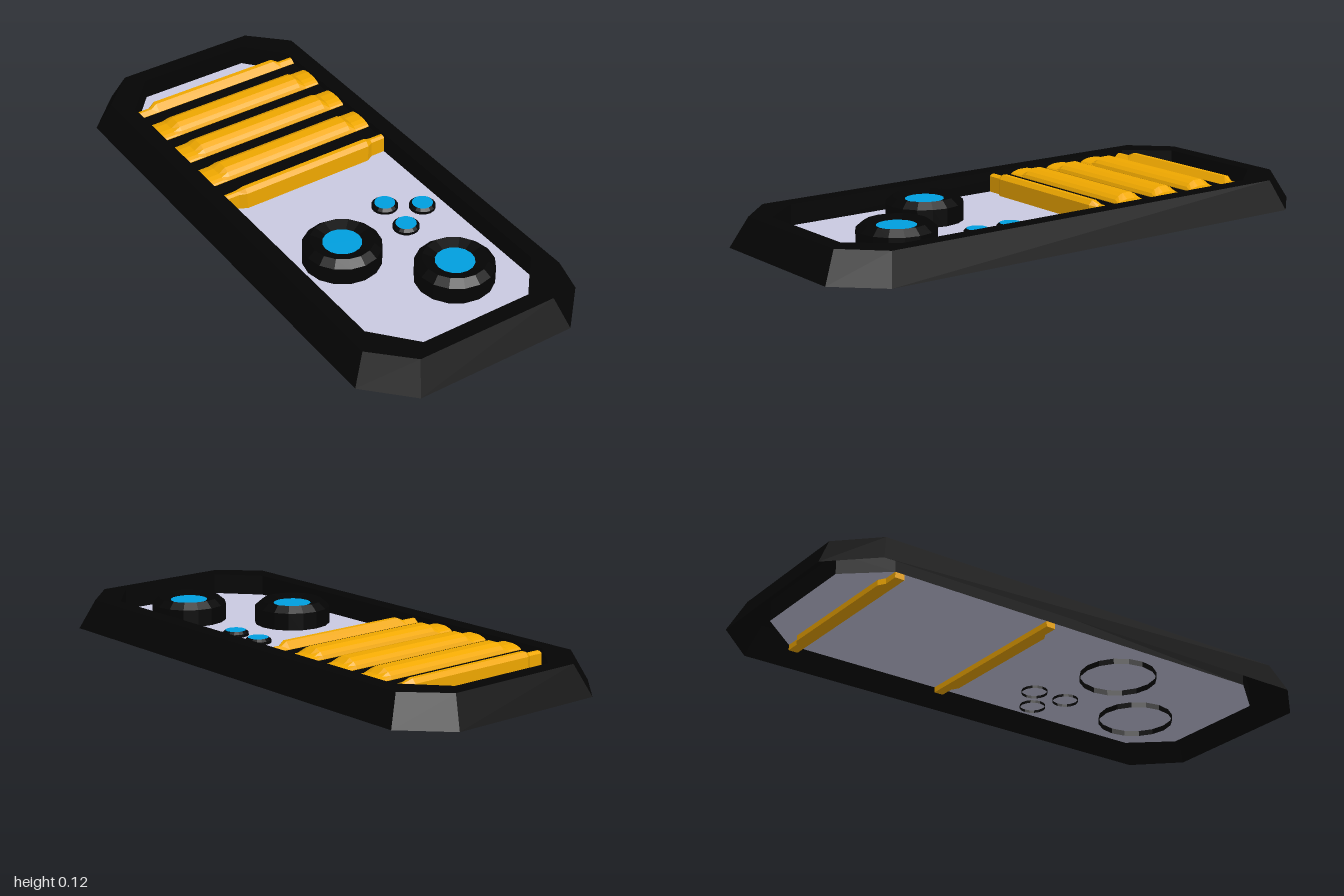
import * as THREE from 'three';

const mat = (color, side = THREE.FrontSide) =>
  new THREE.MeshStandardMaterial({ color, flatShading: true, side });
const black = mat(0x040404, THREE.DoubleSide);
const yellow = mat(0xf0a800);
const blue = mat(0x009fe0);
const panelGrey = mat(0xcacae2, THREE.DoubleSide);

function add(parent, name, geometry, material, x = 0, y = 0, z = 0) {
  const mesh = new THREE.Mesh(geometry, material);
  mesh.name = name;
  mesh.position.set(x, y, z);
  parent.add(mesh);
  return mesh;
}

// Skin closed rings of [x, y, z] points, with optional flat end caps
function loft(rings, caps) {
  const n = rings[0].length, index = [];
  for (let i = 0; i < rings.length - 1; i++) {
    for (let j = 0; j < n; j++) {
      const a = i * n + j, b = i * n + (j + 1) % n;
      index.push(a, b, b + n, a, b + n, a + n);
    }
  }
  if (caps) {
    const e = (rings.length - 1) * n;
    for (let k = 1; k < n - 1; k++) index.push(0, k + 1, k, e, e + k, e + k + 1);
  }
  const g = new THREE.BufferGeometry();
  g.setAttribute('position', new THREE.Float32BufferAttribute(rings.flat(2), 3));
  g.setIndex(index);
  const flat = g.toNonIndexed();
  flat.computeVertexNormals();
  return flat;
}

// Rectangle with cut corners: half width w, half length l, corners at cx and cz
const octagon = (w, l, cx, cz, y) => [
  [-cx, y, l], [cx, y, l], [w, y, cz], [w, y, -cz],
  [cx, y, -l], [-cx, y, -l], [-w, y, -cz], [-w, y, cz],
];

// Bar across x: lower end profiles, ramping up to the taller middle profile
function bar(endProfile, midProfile) {
  const ring = (x, profile) => profile.map(([z, y]) => [x, y, z]);
  return loft([
    ring(-0.335, endProfile), ring(-0.28, endProfile), ring(-0.255, midProfile),
    ring(0.255, midProfile), ring(0.28, endProfile), ring(0.335, endProfile),
  ], true);
}

// Round control with a chamfered black body, open below, and a blue cap
function button(name, x, z, profile) {
  const g = new THREE.Group();
  g.name = name;
  g.position.set(x, 0, z);
  const [capRadius, capHeight] = profile[profile.length - 1];
  const points = profile.map(([r, y]) => new THREE.Vector2(r, y));
  add(g, name + 'Body', new THREE.LatheGeometry(points, 16), black);
  const cap = new THREE.CircleGeometry(capRadius, 16).rotateX(-Math.PI / 2);
  add(g, name + 'Cap', cap, blue, 0, capHeight, 0);
  return g;
}

export function createModel() {
  const model = new THREE.Group();
  model.name = 'controlPanel';
  const panelY = 0.03;

  // Hollow frame: sloped outer wall, flat rim, inner wall down to the panel
  add(model, 'frame', loft([
    octagon(0.445, 1, 0.3, 0.85, 0),
    octagon(0.395, 0.945, 0.265, 0.815, 0.105),
    octagon(0.335, 0.885, 0.21, 0.74, 0.105),
    octagon(0.335, 0.885, 0.21, 0.74, panelY),
  ], false), black);

  // Thin recessed panel
  const outline = octagon(0.335, 0.885, 0.21, 0.74, 0).map(([x, , z]) => new THREE.Vector2(x, -z));
  const panel = new THREE.ShapeGeometry(new THREE.Shape(outline)).rotateX(-Math.PI / 2);
  add(model, 'panel', panel, panelGrey, 0, panelY, 0);

  // Ribbed block: dark bed with yellow bars
  const ribs = new THREE.Group();
  ribs.name = 'ribbedBlock';
  model.add(ribs);
  const middle = -0.4225;
  add(ribs, 'ribBed', new THREE.BoxGeometry(0.668, 0.048, 0.58), black, 0, 0.057, middle);

  // Rounded bars; rise scales the arch above the bed
  const arch = [[-0.055, -0.01], [-0.055, 0], [-0.05, 0.011], [-0.037, 0.022], [-0.018, 0.031],
    [0.018, 0.031], [0.037, 0.022], [0.05, 0.011], [0.055, 0], [0.055, -0.01]];
  for (const z of [-0.59, -0.424, -0.258]) {
    const profile = (rise) => arch.map(([dz, dy]) => [z + dz, 0.083 + dy * rise]);
    add(ribs, 'rib', bar(profile(0.45), profile(1)), yellow);
  }

  // End bars reach down through the panel
  const endLow = [[-0.74, 0.01], [-0.74, 0.088], [-0.73, 0.095], [-0.72, 0.095], [-0.705, 0.082], [-0.705, 0.01]];
  const endHigh = [[-0.755, 0.01], [-0.755, 0.092], [-0.742, 0.107], [-0.725, 0.107], [-0.705, 0.082], [-0.705, 0.01]];
  const mirrored = (profile) => profile.map(([z, y]) => [2 * middle - z, y]).reverse();
  add(ribs, 'backEndRib', bar(endLow, endHigh), yellow);
  add(ribs, 'frontEndRib', bar(mirrored(endLow), mirrored(endHigh)), yellow);

  // Two large dials with dished tops and three small buttons
  const dial = [[0.137, 0.01], [0.137, 0.092], [0.11, 0.115], [0.068, 0.103]];
  const small = [[0.047, 0.02], [0.047, 0.04], [0.037, 0.049]];
  for (const [x, z] of [[-0.138, 0.323], [0.118, 0.611]]) model.add(button('dial', x, z, dial));
  for (const [x, z] of [[0.147, 0.167], [0.257, 0.239], [0.142, 0.302]]) model.add(button('smallButton', x, z, small));

  return model;
}
